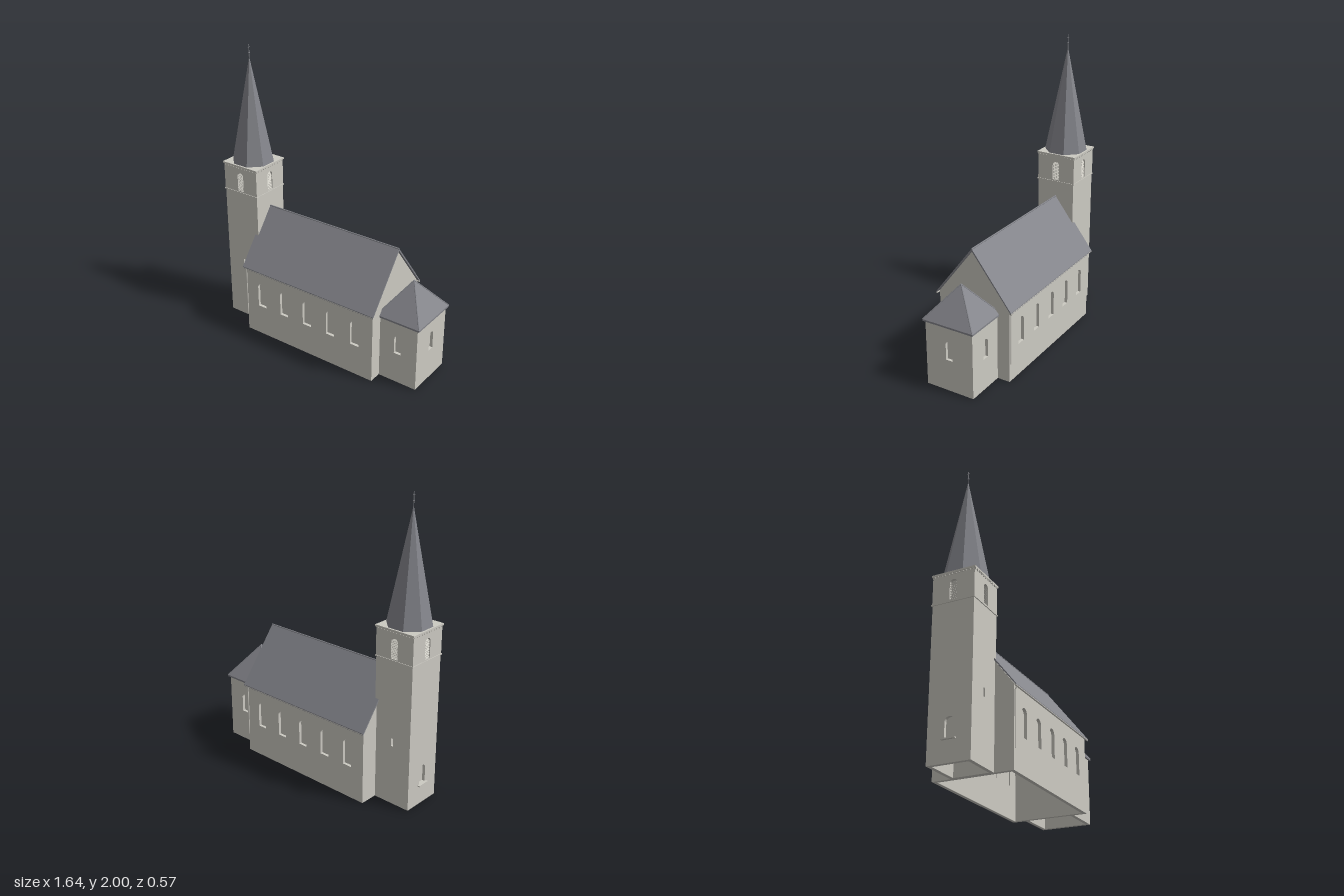
import * as THREE from 'three';

const stone = new THREE.MeshStandardMaterial({ color: 0xcccac2, side: THREE.DoubleSide });
stone.name = 'pale stone';
const slate = new THREE.MeshStandardMaterial({ color: 0x85868c, side: THREE.DoubleSide });
slate.name = 'grey slate';

const T = 0.025; // wall thickness
const UP = new THREE.Vector3(0, 1, 0);

function add(parent, name, geometry, material, x = 0, y = 0, z = 0) {
  const mesh = new THREE.Mesh(geometry, material);
  mesh.name = name;
  mesh.position.set(x, y, z);
  parent.add(mesh);
  return mesh;
}

function box(parent, name, w, h, d, material, x, y, z) {
  return add(parent, name, new THREE.BoxGeometry(w, h, d), material, x, y, z);
}

// Thin round bar between two points
function bar(parent, name, a, b, r, material) {
  const from = new THREE.Vector3(...a), to = new THREE.Vector3(...b);
  const dir = to.clone().sub(from);
  const mesh = add(parent, name, new THREE.CylinderGeometry(r, r, dir.length(), 8), material);
  mesh.position.copy(from).add(to).multiplyScalar(0.5);
  mesh.quaternion.setFromUnitVectors(UP, dir.normalize());
}

// Outline of a round-headed opening
function arch(path, { x, y0, y1, w }) {
  const r = w / 2;
  path.moveTo(x - r, y0);
  path.lineTo(x + r, y0);
  path.lineTo(x + r, y1 - r);
  path.absarc(x, y1 - r, r, 0, Math.PI, false);
  path.lineTo(x - r, y0);
  return path;
}

// Upright wall facing outwards at angle, with recessed arched openings
function wall(parent, name, outline, openings, x, z, angle) {
  const group = new THREE.Group();
  group.name = name;
  group.position.set(x, 0, z);
  group.rotation.y = angle;
  parent.add(group);
  const shape = new THREE.Shape(outline.map(p => new THREE.Vector2(...p)));
  for (const o of openings) {
    shape.holes.push(arch(new THREE.Path(), o));
    add(group, 'windowPane', new THREE.ShapeGeometry(arch(new THREE.Shape(), o), 10), stone, 0, 0, -0.02);
    // Louvre slats
    for (let i = 0; i < (o.slats || 0); i++) {
      const y = o.y0 + 0.008 + i * (o.y1 - o.y0 - 0.014) / o.slats;
      const slat = box(group, 'louvre', o.w * (y > o.y1 - o.w / 2 ? 0.75 : 1), 0.003, 0.016, stone, o.x, y, -0.011);
      slat.rotation.x = 0.6;
    }
  }
  const geo = new THREE.ExtrudeGeometry(shape, { depth: T, bevelEnabled: false, curveSegments: 10 });
  geo.translate(0, 0, -T);
  add(group, 'masonry', geo, stone);
  return group;
}

const rect = (half, y0, y1) => [[-half, y0], [half, y0], [half, y1], [-half, y1]];

// Sharp-edged pyramid
function pyramid(sides, halfX, halfZ, h) {
  const geo = new THREE.ConeGeometry(1 / Math.cos(Math.PI / sides), h, sides, 1, true, Math.PI / sides);
  geo.scale(halfX, 1, halfZ);
  const flat = geo.toNonIndexed();
  flat.computeVertexNormals();
  return flat;
}

function buildNave(parent) {
  const nave = new THREE.Group();
  nave.name = 'nave';
  parent.add(nave);
  const x0 = -0.535, x1 = 0.52, cx = (x0 + x1) / 2, half = (x1 - x0) / 2;
  for (const s of [1, -1]) {
    const windows = [-0.4, -0.205, -0.01, 0.185, 0.38].map(x => ({ x: (x - cx) * s, y0: 0.225, y1: 0.41, w: 0.068 }));
    wall(nave, 'sideWall', rect(half, 0, 0.518), windows, cx, s * 0.265, s > 0 ? 0 : Math.PI);
    bar(nave, 'gutter', [-0.55, 0.502, s * 0.28], [0.535, 0.502, s * 0.28], 0.006, stone);
    // Downpipe at opposite corners
    const px = s > 0 ? -0.53 : 0.512;
    bar(nave, 'downpipe', [px, 0.13, s * 0.271], [px, 0.48, s * 0.271], 0.004, stone);
    bar(nave, 'downpipeElbow', [px, 0.48, s * 0.271], [px, 0.502, s * 0.281], 0.004, stone);
  }
  const gable = [[-0.265, 0], [0.265, 0], [0.265, 0.518], [0, 0.863], [-0.265, 0.518]];
  wall(nave, 'eastGable', gable, [], x1, 0, Math.PI / 2);
  wall(nave, 'westGable', gable, [], x0, 0, -Math.PI / 2);
  // Folded roof slab
  const profile = [[0.285, 0.51], [0, 0.88], [-0.285, 0.51], [-0.285, 0.498], [0, 0.864], [0.285, 0.498]];
  const roof = new THREE.ExtrudeGeometry(new THREE.Shape(profile.map(p => new THREE.Vector2(...p))), { depth: 1.085, bevelEnabled: false });
  roof.rotateY(Math.PI / 2);
  add(nave, 'naveRoof', roof, slate, -0.55);
  bar(nave, 'ridgeCap', [-0.54, 0.878, 0], [0.535, 0.878, 0], 0.005, slate);
}

function buildChancel(parent) {
  const chancel = new THREE.Group();
  chancel.name = 'chancel';
  parent.add(chancel);
  const cx = 0.655;
  const win = x => [{ x, y0: 0.22, y1: 0.355, w: 0.05 }];
  for (const s of [1, -1]) {
    wall(chancel, 'chancelSideWall', rect(0.145, 0, 0.46), win(0), cx, s * 0.175, s > 0 ? 0 : Math.PI);
    for (const t of [1, -1]) {
      bar(chancel, 'hipCap', [cx + t * 0.159, 0.467, s * 0.186], [cx, 0.689, 0], 0.004, slate);
    }
  }
  wall(chancel, 'chancelEndWall', rect(0.175, 0, 0.46), win(0), 0.8, 0, Math.PI / 2);
  box(chancel, 'eaves', 0.32, 0.012, 0.374, slate, cx, 0.461, 0);
  add(chancel, 'chancelRoof', pyramid(4, 0.16, 0.187, 0.223), slate, cx, 0.5785, 0);
}

function buildTower(parent) {
  const tower = new THREE.Group();
  tower.name = 'tower';
  tower.position.x = -0.663;
  parent.add(tower);
  const slit = { x: 0, y0: 0.41, y1: 0.465, w: 0.016 };
  const west = { x: 0, y0: 0.142, y1: 0.27, w: 0.06 };
  const belfry = { x: 0, y0: 1.0, y1: 1.135, w: 0.05, slats: 11 };
  const lower = [[slit], [], [slit], [west]];
  for (let i = 0; i < 4; i++) {
    const a = i * Math.PI / 2, sx = Math.sin(a), cz = Math.cos(a);
    wall(tower, 'towerWall', rect(0.14, 0, 0.99), lower[i], sx * 0.14, cz * 0.14, a);
    const upper = wall(tower, 'belfryWall', rect(0.142, 0.99, 1.18), [belfry], sx * 0.142, cz * 0.142, a);
    box(upper, 'stringCourse', 0.292, 0.008, 0.01, stone, 0, 0.988, -0.001);
    // Dentils under the cornice
    for (let k = 0; k < 12; k++) box(upper, 'dentil', 0.011, 0.01, 0.006, stone, -0.132 + k * 0.024, 1.174, 0.002);
  }
  box(tower, 'cornice', 0.296, 0.012, 0.296, stone, 0, 1.184, 0);
  box(tower, 'windowSill', 0.018, 0.008, 0.09, stone, -0.147, 0.138, 0);

  // Eight-sided spire with finial
  add(tower, 'spire', pyramid(8, 0.136, 0.136, 0.73), slate, 0, 1.555, 0);
  bar(tower, 'finialRod', [0, 1.9, 0], [0, 2, 0], 0.0025, slate);
  add(tower, 'finialBall', new THREE.SphereGeometry(0.006, 12, 8), slate, 0, 1.945, 0);
  bar(tower, 'finialCrossArm', [0, 1.982, -0.01], [0, 1.982, 0.01], 0.002, slate);
}

export function createModel() {
  const church = new THREE.Group();
  church.name = 'church';
  buildNave(church);
  buildChancel(church);
  buildTower(church);
  return church;
}
